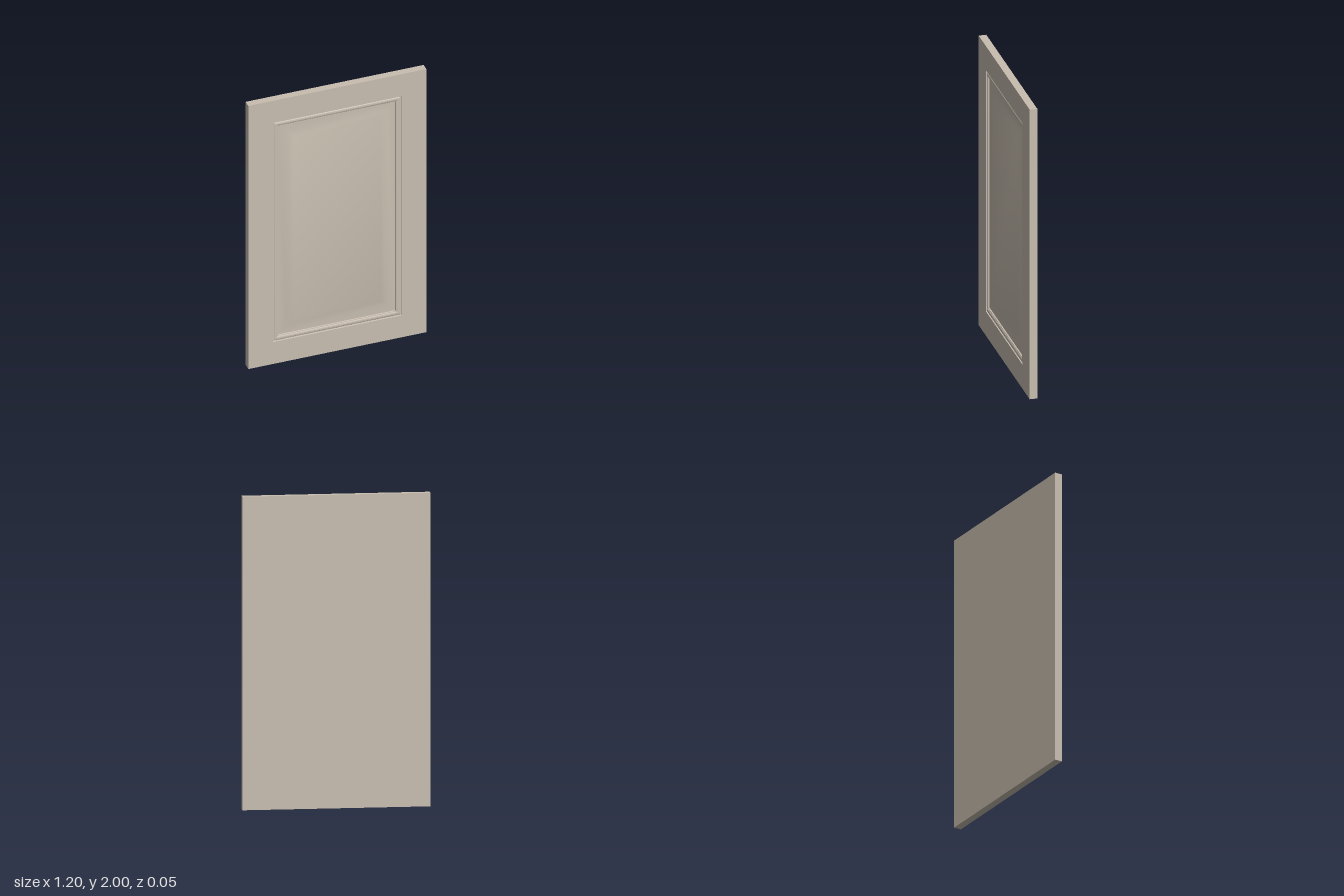
import * as THREE from 'three';
import { toCreasedNormals } from 'three/addons/utils/BufferGeometryUtils.js';

const W = 1.2, H = 2, FRONT = 0.025, BACK = -0.025, FLOOR = 0.01;

// Corners of a rectangle set in from the door's edge, counter-clockwise from the front
function corners(inset, z) {
  const x = W / 2 - inset;
  return [[-x, inset, z], [x, inset, z], [x, H - inset, z], [-x, H - inset, z]];
}

// Sweeps a profile of [inset, z] points along one mitred side (0 bottom, 1 right edge, 2 top, 3 left edge)
function sideFaces(profile, side) {
  const out = [], next = (side + 1) % 4;
  for (let i = 0; i < profile.length - 1; i++) {
    const p = corners(...profile[i]), q = corners(...profile[i + 1]);
    const a = p[side], b = p[next], c = q[next], d = q[side];
    out.push(...a, ...b, ...c, ...a, ...c, ...d);
  }
  return out;
}

function rectFaces([a, b, c, d]) {
  return [...a, ...b, ...c, ...a, ...c, ...d];
}

export function createModel() {
  const door = new THREE.Group();
  door.name = 'panelDoor';
  const material = new THREE.MeshStandardMaterial({ color: 0xc8beb0 });

  const add = (name, positions, parent = door) => {
    let geometry = new THREE.BufferGeometry();
    geometry.setAttribute('position', new THREE.Float32BufferAttribute(positions, 3));
    geometry.computeVertexNormals();
    geometry = toCreasedNormals(geometry, 0.6);
    const mesh = new THREE.Mesh(geometry, material);
    mesh.name = name;
    parent.add(mesh);
  };

  // Frame: outer edge, flat face and small step down to the moulding
  const frameProfile = [[0, BACK], [0, FRONT], [0.167, FRONT], [0.169, 0.018], [0.174, 0.018]];

  // Moulding: rounded bead, then a drop into the panel recess
  const beadProfile = [[0.174, 0.018]];
  for (let i = 0; i <= 8; i++) {
    const t = Math.PI * (1 - i / 8);
    beadProfile.push([0.187 + 0.013 * Math.cos(t), 0.018 + 0.005 * Math.sin(t)]);
  }
  beadProfile.push([0.204, 0.018], [0.206, FLOOR]);

  // Panel: flat border and bevel rising to the raised field
  const panelProfile = [[0.206, FLOOR], [0.265, FLOOR], [0.305, 0.02]];

  const frame = new THREE.Group();
  frame.name = 'frame';
  const moulding = new THREE.Group();
  moulding.name = 'moulding';
  door.add(frame, moulding);
  const panel = [];
  ['bottomRail', 'leftStile', 'topRail', 'rightStile'].forEach((name, side) => {
    add(name, sideFaces(frameProfile, side), frame);
    add(name + 'Bead', sideFaces(beadProfile, side), moulding);
    panel.push(...sideFaces(panelProfile, side));
  });
  panel.push(...rectFaces(corners(0.305, 0.02)));
  add('raisedPanel', panel);

  // Plain back
  add('back', rectFaces(corners(0, BACK).reverse()));
  return door;
}
